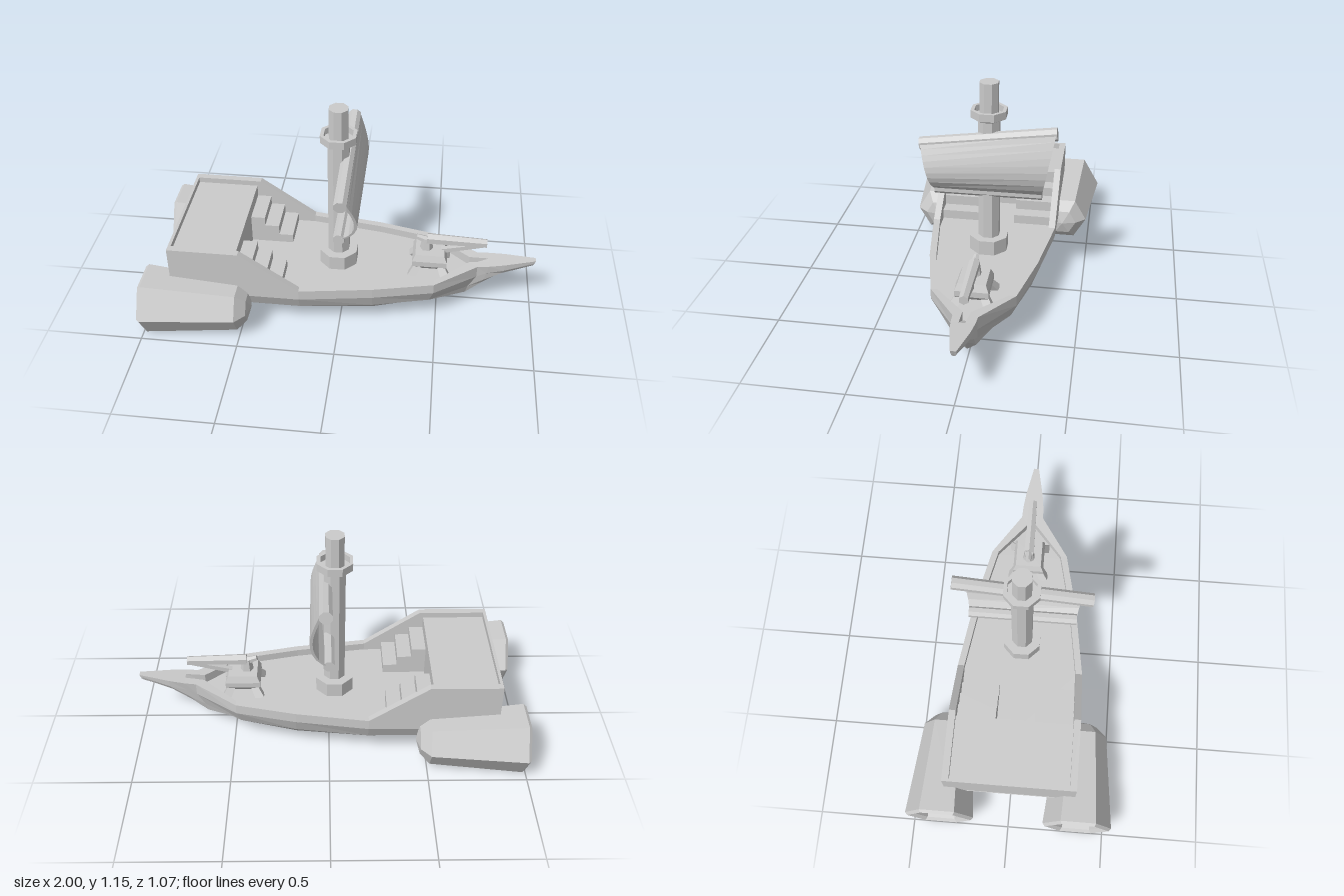
import * as THREE from 'three';

const material = new THREE.MeshStandardMaterial({ color: 0xcccccc, flatShading: true, side: THREE.DoubleSide });

function add(parent, name, geometry, x = 0, y = 0, z = 0) {
  const mesh = new THREE.Mesh(geometry, material);
  mesh.name = name;
  mesh.position.set(x, y, z);
  parent.add(mesh);
  return mesh;
}

function box(parent, name, x0, x1, y0, y1, z0, z1) {
  return add(parent, name, new THREE.BoxGeometry(x1 - x0, y1 - y0, z1 - z0),
    (x0 + x1) / 2, (y0 + y1) / 2, (z0 + z1) / 2);
}

// Faceted turned part; points are [radius, height]
function turned(points, sides, phase = 0) {
  const profile = points.map(([r, h]) => new THREE.Vector2(r, h));
  return new THREE.LatheGeometry(profile, sides, phase);
}

// Tapered bar between two points
function rod(parent, name, from, to, r0, r1, sides) {
  const a = new THREE.Vector3(...from), b = new THREE.Vector3(...to);
  const dir = b.clone().sub(a);
  const geometry = new THREE.CylinderGeometry(r1, r0, dir.length(), sides);
  geometry.rotateY(Math.PI / sides);
  const mesh = add(parent, name, geometry);
  mesh.position.copy(a).add(b).multiplyScalar(0.5);
  mesh.quaternion.setFromUnitVectors(new THREE.Vector3(0, 1, 0), dir.normalize());
  return mesh;
}

// Skin over closed rings, counter-clockwise about the loft direction, with fan caps
function loft(rings) {
  const n = rings[0].length, pos = rings.flat(2), index = [];
  for (let i = 0; i < rings.length - 1; i++) {
    for (let j = 0; j < n; j++) {
      const a = i * n + j, b = i * n + (j + 1) % n;
      index.push(a, b, b + n, a, b + n, a + n);
    }
  }
  [0, rings.length - 1].forEach((r, end) => {
    const centre = pos.length / 3;
    for (let k = 0; k < 3; k++) pos.push(rings[r].reduce((s, p) => s + p[k], 0) / n);
    for (let j = 0; j < n; j++) {
      const a = r * n + j, b = r * n + (j + 1) % n;
      index.push(centre, end ? a : b, end ? b : a);
    }
  });
  const geometry = new THREE.BufferGeometry();
  geometry.setAttribute('position', new THREE.Float32BufferAttribute(pos, 3));
  geometry.setIndex(index);
  geometry.computeVertexNormals();
  return geometry;
}

function buildHull(group) {
  // Half sections from stern to bow: deck edge, inner rail, outer rail, three chines, keel
  const straight = (x, w) => [
    [x, 0.22, w - 0.035], [x, 0.26, w - 0.035], [x, 0.26, w], [x, 0.205, w],
    [x, 0.13, w * 0.9], [x, 0.085, w * 0.76], [x, 0.015, 0]];
  const stern = straight(-0.86, 0.335);
  [-0.86, -0.80, -0.74, -0.65].forEach((x, i) => { stern[3 + i][0] = x; });
  const shoulder = straight(0.48, 0.21);
  shoulder[4] = [0.46, 0.13, 0.18];
  shoulder[5] = [0.43, 0.085, 0.13];
  shoulder[6] = [0.43, 0.015, 0];
  const halves = [
    stern, straight(-0.2, 0.335), straight(0.17, 0.28), shoulder,
    [[0.66, 0.22, 0.02], [0.66, 0.272, 0.02], [0.70, 0.275, 0.06], [0.70, 0.205, 0.055],
      [0.66, 0.13, 0.05], [0.65, 0.08, 0.04], [0.66, 0.06, 0]],
    [[0.76, 0.28, 0.01], [0.76, 0.28, 0.02], [0.76, 0.28, 0.057], [0.75, 0.23, 0.052],
      [0.74, 0.18, 0.047], [0.73, 0.15, 0.035], [0.73, 0.14, 0]],
    [[0.84, 0.288, 0.01], [0.84, 0.288, 0.02], [0.84, 0.288, 0.047], [0.84, 0.25, 0.045],
      [0.83, 0.225, 0.035], [0.825, 0.215, 0.02], [0.82, 0.21, 0]],
    [[1, 0.303, 0.004], [1, 0.303, 0.008], [1, 0.303, 0.014], [0.995, 0.29, 0.014],
      [0.992, 0.28, 0.012], [0.988, 0.27, 0.008], [0.985, 0.265, 0]],
  ];
  const rings = halves.map(h => [...h, ...h.slice(0, -1).reverse().map(([x, y, z]) => [x, y, -z])]);
  add(group, 'hull', loft(rings));
}

function buildStern(group) {
  const side = new THREE.Shape([[-0.86, 0.26], [-0.2, 0.26], [-0.5, 0.47], [-0.86, 0.47]]
    .map(p => new THREE.Vector2(...p)));
  for (const s of [1, -1]) {
    add(group, 'sternSideWall', new THREE.ExtrudeGeometry(side, { depth: 0.035, bevelEnabled: false }),
      0, 0, s > 0 ? 0.30 : -0.335);
    // Three steps up to the raised deck
    [0.375, 0.325, 0.27].forEach((top, i) => {
      const x = -0.52 + i * 0.075;
      box(group, 'step', x, x + 0.075, 0.21, top, s > 0 ? 0.10 : -0.30, s > 0 ? 0.30 : -0.10);
    });
  }
  box(group, 'sternWall', -0.86, -0.845, 0.24, 0.47, -0.30, 0.30);
  box(group, 'raisedDeck', -0.845, -0.52, 0.21, 0.44, -0.30, 0.30);
}

function buildEngines(group) {
  // Hollow hexagonal pods: nozzle interior, rim, casing, then pointed nose
  const pod = turned([[0, -0.72], [0.08, -0.72], [0.145, -0.985], [0.165, -1], [0.178, -0.985],
    [0.13, -0.51], [0.075, -0.46], [0, -0.44]], 6);
  pod.rotateZ(-Math.PI / 2);
  for (const s of [1, -1]) add(group, 'enginePod', pod, 0, 0.157, s * 0.358);
}

function buildMast(group) {
  const mast = new THREE.Group();
  mast.name = 'mast';
  mast.position.x = -0.03;
  group.add(mast);
  const phase = Math.PI / 8;
  add(mast, 'mastFoot', turned([[0.104, 0.21], [0.104, 0.30], [0, 0.30]], 8, phase));
  add(mast, 'mastPole', turned([[0.058, 0.29], [0.058, 0.96], [0.05, 0.96], [0.05, 1.148], [0, 1.148]], 8, phase));
  add(mast, 'lookoutRing', turned([[0.05, 0.945], [0.095, 0.968], [0.095, 1.008], [0.076, 1.008],
    [0.076, 0.975], [0.04, 0.975]], 8, phase));
}

function buildSail(group) {
  rod(group, 'upperYard', [0.015, 0.815, 0.345], [0.015, 0.91, -0.345], 0.034, 0.034, 8);
  rod(group, 'lowerYard', [0, 0.567, 0.277], [0, 0.567, -0.277], 0.03, 0.03, 8);
  // Billowed cloth: a thin slab bent forward and widened towards the slanted top
  const cloth = new THREE.BoxGeometry(0.014, 1, 2, 1, 9, 1);
  const p = cloth.attributes.position;
  for (let i = 0; i < p.count; i++) {
    const t = p.getY(i) + 0.5, s = p.getZ(i);
    p.setXYZ(i,
      p.getX(i) + 0.02 + 0.015 * t + 0.06 * Math.sin(Math.PI * Math.pow(t, 0.75)),
      THREE.MathUtils.lerp(0.575, 0.875 - 0.048 * s, t),
      s * THREE.MathUtils.lerp(0.277, 0.342, t));
  }
  cloth.computeVertexNormals();
  add(group, 'sail', cloth);
}

function buildCannon(group) {
  const cannon = new THREE.Group();
  cannon.name = 'deckCannon';
  cannon.position.x = 0.45;
  group.add(cannon);
  const body = turned([[0, 0.25], [0.075, 0.25], [0.09, 0.27], [0.09, 0.30], [0.075, 0.335], [0, 0.335]]
    .map(([r, h]) => [r * Math.SQRT2, h]), 4, Math.PI / 4);
  add(cannon, 'cannonBase', body).scale.z = 0.92;
  for (const sx of [1, -1]) for (const sz of [1, -1]) {
    rod(cannon, 'cannonLeg', [sx * 0.09, 0.21, sz * 0.09], [sx * 0.055, 0.275, sz * 0.055], 0.032, 0.025, 4);
  }
  rod(cannon, 'cannonPivot', [-0.02, 0.33, 0], [-0.02, 0.40, 0], 0.035, 0.025, 6);
  rod(cannon, 'barrel', [-0.02, 0.395, 0], [0.29, 0.388, 0], 0.03, 0.024, 6);
  rod(cannon, 'barrelStrut', [0.06, 0.325, 0], [0.28, 0.378, 0], 0.018, 0.014, 4);
  rod(cannon, 'cannonHandle', [-0.075, 0.405, 0], [-0.02, 0.385, 0], 0.014, 0.022, 6);
}

export function createModel() {
  const group = new THREE.Group();
  group.name = 'flyingShip';
  buildHull(group);
  buildStern(group);
  buildEngines(group);
  buildMast(group);
  buildSail(group);
  buildCannon(group);
  return group;
}
